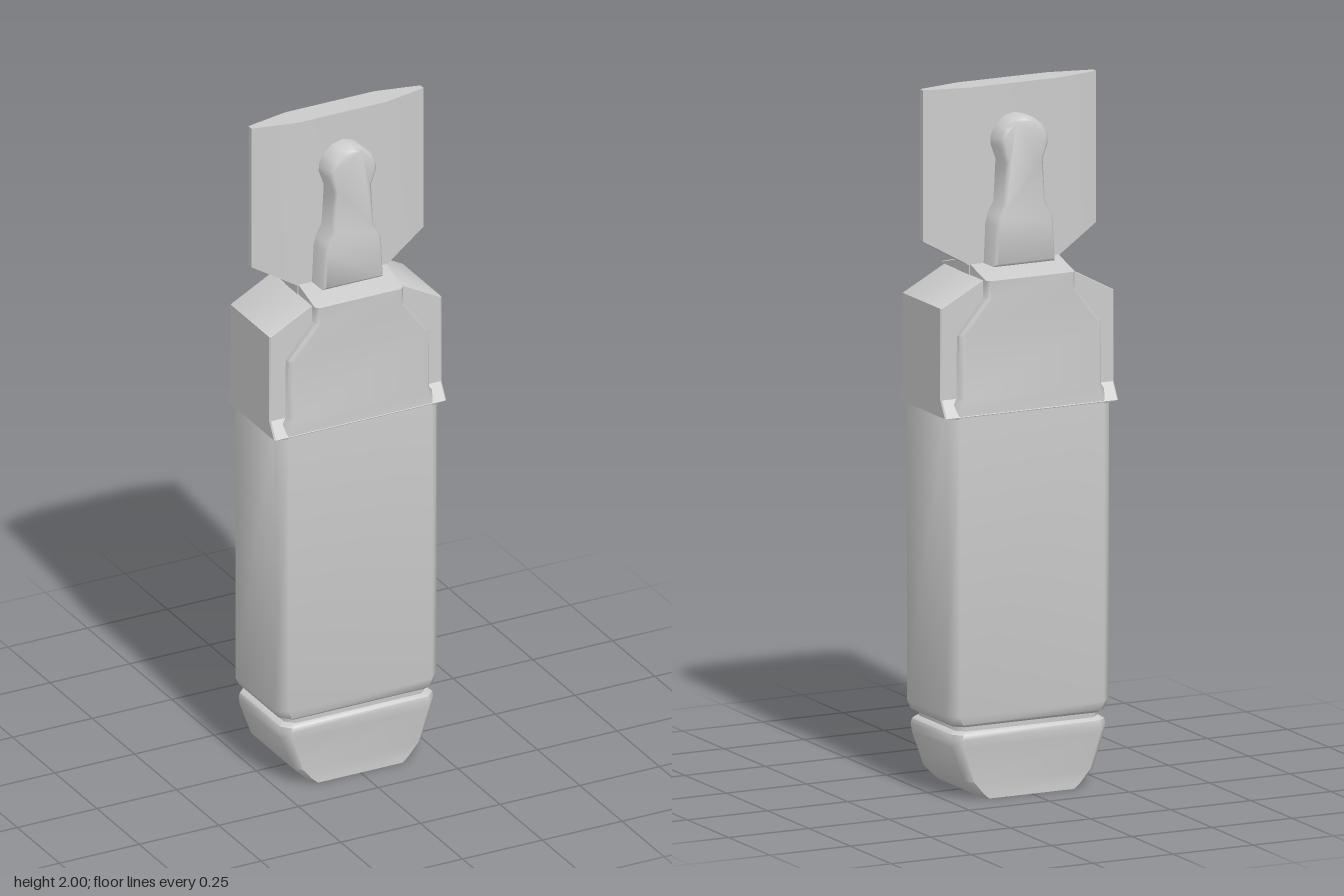
import * as THREE from 'three';
import { toCreasedNormals } from 'three/addons/utils/BufferGeometryUtils.js';

const material = new THREE.MeshStandardMaterial({ color: 0xcccccc });

function addMesh(group, name, geometry) {
  const mesh = new THREE.Mesh(geometry, material);
  mesh.name = name;
  group.add(mesh);
}

// Skins a row of equal-length rings and caps both ends
function loft(rings, crease = 0.9) {
  const n = rings[0].length;
  const pos = [];
  const tri = (...pts) => pts.forEach((p) => pos.push(...p));
  const centre = (ring) => [0, 1, 2].map((k) => ring.reduce((s, p) => s + p[k], 0) / n);
  const first = rings[0], last = rings[rings.length - 1];
  const c0 = centre(first), c1 = centre(last);
  for (let j = 0; j < n; j++) {
    const k = (j + 1) % n;
    for (let i = 0; i < rings.length - 1; i++) {
      const a = rings[i], b = rings[i + 1];
      tri(a[j], a[k], b[k]);
      tri(a[j], b[k], b[j]);
    }
    tri(c0, first[k], first[j]);
    tri(c1, last[j], last[k]);
  }
  const geometry = new THREE.BufferGeometry();
  geometry.setAttribute('position', new THREE.Float32BufferAttribute(pos, 3));
  return toCreasedNormals(geometry, crease);
}

// Horizontal rectangle with cut corners: height, half width, half depth, cut
function section([y, hx, hz, c]) {
  return [
    [hx, y, hz - c], [hx, y, c - hz], [hx - c, y, -hz], [c - hx, y, -hz],
    [-hx, y, c - hz], [-hx, y, hz - c], [c - hx, y, hz], [hx - c, y, hz],
  ];
}

export function createModel() {
  const group = new THREE.Group();

  // Tapered foot
  addMesh(group, 'foot', loft([
    [0, 0.145, 0.145, 0.012], [0.015, 0.165, 0.145, 0.015], [0.05, 0.2, 0.145, 0.02],
    [0.15, 0.238, 0.145, 0.025], [0.172, 0.242, 0.145, 0.025],
    [0.187, 0.238, 0.145, 0.025], [0.195, 0.225, 0.135, 0.025],
  ].map(section)));

  // Recessed joint between foot and body
  addMesh(group, 'joint', loft([
    [0.185, 0.222, 0.134, 0.025], [0.225, 0.222, 0.134, 0.025],
  ].map(section)));

  // Long body, stepping inward between the shoulder plates
  addMesh(group, 'body', loft([
    [0.208, 0.23, 0.135, 0.025], [0.216, 0.243, 0.145, 0.028], [0.24, 0.255, 0.145, 0.03],
    [1.1, 0.255, 0.145, 0.03], [1.14, 0.222, 0.145, 0.012], [1.32, 0.22, 0.145, 0.012],
    [1.42, 0.138, 0.145, 0.01], [1.47, 0.138, 0.145, 0.01], [1.497, 0.138, 0.05, 0.01],
  ].map(section)));

  // Shoulder plates on both flanks, flared at the lower corners
  addMesh(group, 'shoulderPlates', loft([
    [1.085, 0.252, 0.143, 0.028], [1.092, 0.27, 0.146, 0.004], [1.14, 0.27, 0.118, 0.004],
    [1.4, 0.27, 0.118, 0.004], [1.468, 0.142, 0.118, 0.004],
  ].map(section), 0.5));

  // Wide fin, thinning toward its side edges: x, bottom, top, half thickness
  const finRing = ([x, bottom, top, h]) =>
    [[x, bottom, -h], [x, top, -h], [x, top, h], [x, bottom, h]];
  addMesh(group, 'fin', loft([
    [-0.27, 1.57, 2, 0.009], [-0.14, 1.495, 2, 0.037], [0.14, 1.495, 2, 0.037], [0.27, 1.57, 2, 0.009],
  ].map(finRing)));

  // Stem joining the fin to the body
  addMesh(group, 'finStem', new THREE.BoxGeometry(0.28, 0.06, 0.074).translate(0, 1.475, 0));

  // Bottle-shaped rib running through the fin
  const half = [
    [0.095, 1.497], [0.09, 1.61], [0.082, 1.64], [0.065, 1.67], [0.058, 1.79], [0.074, 1.835],
    [0.073, 1.86], [0.058, 1.888], [0.03, 1.91],
  ];
  const outline = [...half, [0, 1.917], ...half.map(([x, y]) => [-x, y]).reverse()];
  const bevel = 0.008;
  const rib = new THREE.ExtrudeGeometry(new THREE.Shape(outline.map((p) => new THREE.Vector2(...p))), {
    depth: 0.21 - 2 * bevel, bevelThickness: bevel, bevelSize: bevel, bevelOffset: -bevel, bevelSegments: 1,
  }).translate(0, 0, -0.105 + bevel);
  addMesh(group, 'rib', toCreasedNormals(rib, 0.9));

  return group;
}
